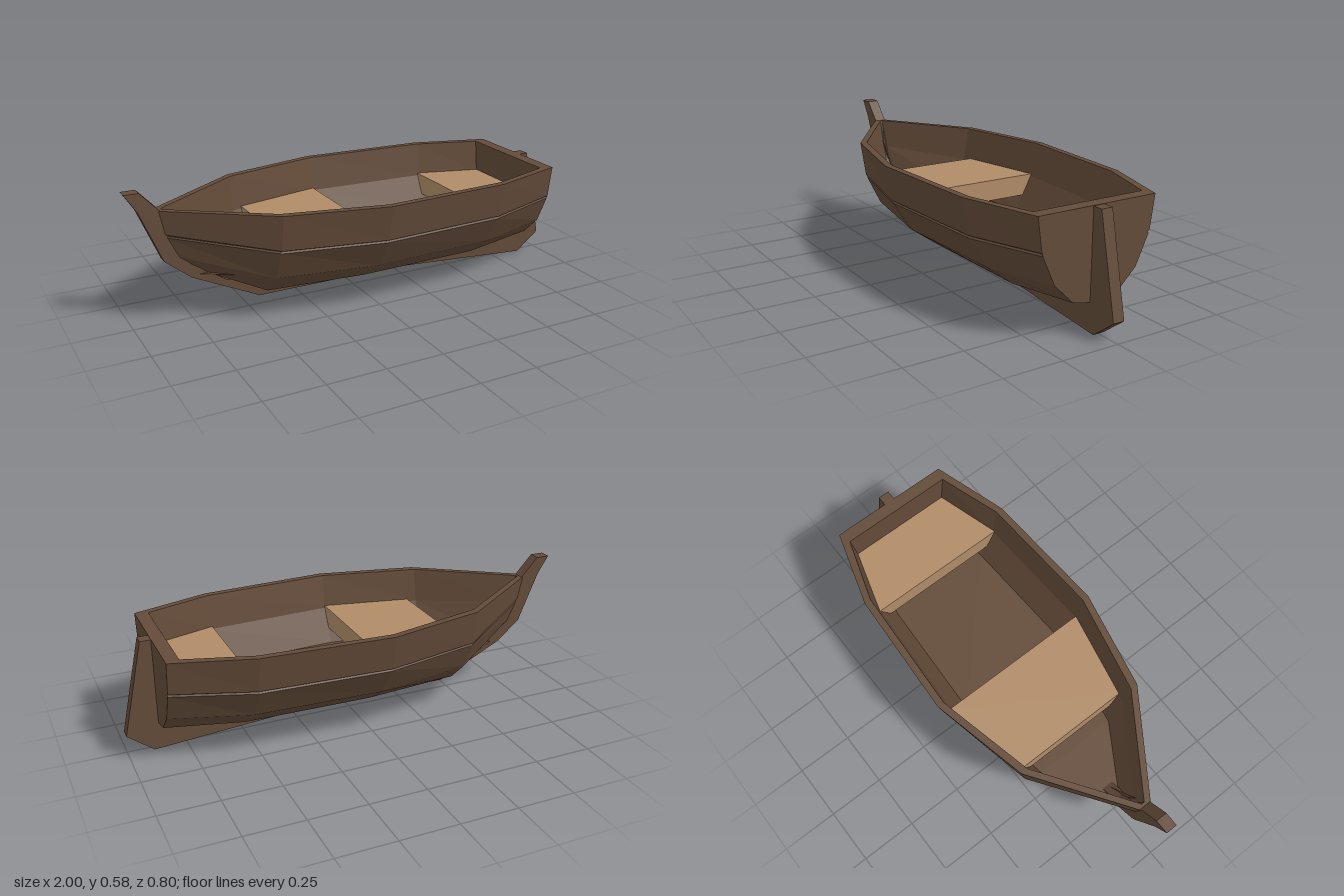
import * as THREE from 'three';

// Hull stations, bow to stern. Each outer point is [x, y, z] on the +z side, rim to keel;
// each inner point likewise, rim to floor.
const row = (x, ys, zs) => ys.map((y, i) => [x, y, zs[i]]);
const SIDE_Y = [0.495, 0.342, 0.337, 0.33, 0.2, 0.108, 0.082];
const INNER_Y = [0.495, 0.345, 0.2];
const STATIONS = [
  {
    outer: [[-0.875, 0.495, 0.02], [-0.858, 0.394, 0.018], [-0.856, 0.387, 0.012], [-0.854, 0.38, 0.016],
      [-0.82, 0.295, 0.012], [-0.71, 0.21, 0.01], [-0.67, 0.185, 0]],
    inner: [[-0.85, 0.495, 0.006], [-0.82, 0.37, 0.005], [-0.75, 0.2, 0.004]],
  },
  {
    outer: row(-0.46, SIDE_Y, [0.305, 0.282, 0.272, 0.277, 0.212, 0.115, 0]),
    inner: row(-0.46, INNER_Y, [0.272, 0.25, 0.188]),
  },
  {
    outer: row(-0.03, SIDE_Y, [0.4, 0.372, 0.361, 0.367, 0.285, 0.155, 0]),
    inner: row(-0.03, INNER_Y, [0.37, 0.342, 0.265]),
  },
  {
    outer: row(0.53, SIDE_Y, [0.37, 0.343, 0.333, 0.339, 0.262, 0.142, 0]),
    inner: row(0.53, INNER_Y, [0.34, 0.315, 0.24]),
  },
  {
    outer: row(0.865, [0.495, 0.355, 0.35, 0.343, 0.22, 0.137, 0.115], [0.27, 0.25, 0.241, 0.246, 0.19, 0.105, 0]),
    inner: row(0.81, INNER_Y, [0.252, 0.233, 0.172]),
  },
];

const mirror = ([x, y, z]) => [x, y, -z];

function flatGeometry(triangles) {
  const g = new THREE.BufferGeometry();
  g.setAttribute('position', new THREE.Float32BufferAttribute(triangles.flat(2), 3));
  g.computeVertexNormals();
  return g;
}

// Closed U-shaped sections lofted along the boat, with end caps inside and outside
function hullGeometry() {
  const tris = [];
  const loops = STATIONS.map(({ outer, inner }) => [
    ...outer, ...outer.slice(0, -1).reverse().map(mirror),
    ...inner.map(mirror), ...inner.slice().reverse(),
  ]);
  const n = loops[0].length;
  const nOuter = STATIONS[0].outer.length * 2 - 1;
  for (let s = 0; s < loops.length - 1; s++) {
    for (let i = 0; i < n; i++) {
      const j = (i + 1) % n;
      const a = loops[s][i], b = loops[s][j], c = loops[s + 1][j], d = loops[s + 1][i];
      tris.push([a, b, c], [a, c, d]);
    }
  }
  const fan = (pts, flip) => {
    for (let i = 1; i < pts.length - 1; i++) {
      tris.push(flip ? [pts[0], pts[i + 1], pts[i]] : [pts[0], pts[i], pts[i + 1]]);
    }
  };
  for (const [loop, flip] of [[loops[0], true], [loops.at(-1), false]]) {
    fan(loop.slice(0, nOuter), flip);
    fan(loop.slice(nOuter), flip);
    fan([loop[0], loop[nOuter - 1], loop[nOuter], loop[n - 1]], flip);
  }
  return flatGeometry(tris);
}

// Thwart: a slab whose ends follow the tapering, sloping hull sides
function seatGeometry(x0, z0, x1, z1) {
  const g = new THREE.BoxGeometry(1, 1, 1);
  const p = g.attributes.position;
  for (let i = 0; i < p.count; i++) {
    const low = p.getY(i) < 0;
    const fore = p.getX(i) < 0;
    const z = (fore ? z0 : z1) - (low ? 0.047 : 0);
    p.setXYZ(i, fore ? x0 : x1, low ? 0.262 : 0.355, Math.sign(p.getZ(i)) * z);
  }
  const flat = g.toNonIndexed();
  flat.computeVertexNormals();
  return flat;
}

export function createModel() {
  const wood = new THREE.MeshStandardMaterial({ color: 0x634b39 });
  wood.name = 'dark wood';
  wood.flatShading = true;
  const plank = new THREE.MeshStandardMaterial({ color: 0xb08c68 });
  plank.name = 'light wood';
  plank.flatShading = true;

  const boat = new THREE.Group();
  boat.name = 'rowingBoat';
  const add = (name, geometry, material) => {
    const m = new THREE.Mesh(geometry, material);
    m.name = name;
    boat.add(m);
    return m;
  };

  add('hull', hullGeometry(), wood);
  add('middleSeat', seatGeometry(-0.42, 0.265, -0.03, 0.346), plank);
  add('sternSeat', seatGeometry(0.52, 0.319, 0.812, 0.238), plank);

  // Stem, keel and rudder post in one continuous plate
  const outline = [
    [-1, 0.58], [-0.95, 0.5], [-0.86, 0.28], [-0.75, 0.19], [-0.46, 0.05], [0.2, 0.05],
    [0.89, 0], [1, 0.085], [0.91, 0.493], [0.85, 0.493], [0.83, 0.15], [-0.6, 0.15],
    [-0.75, 0.25], [-0.83, 0.38], [-0.86, 0.493], [-0.94, 0.58],
  ];
  const shape = new THREE.Shape(outline.map(([x, y]) => new THREE.Vector2(x, y)));
  const keel = new THREE.ExtrudeGeometry(shape, { depth: 0.05, bevelEnabled: false });
  keel.translate(0, 0, -0.025);
  add('stemKeelAndRudder', keel, wood);

  return boat;
}
